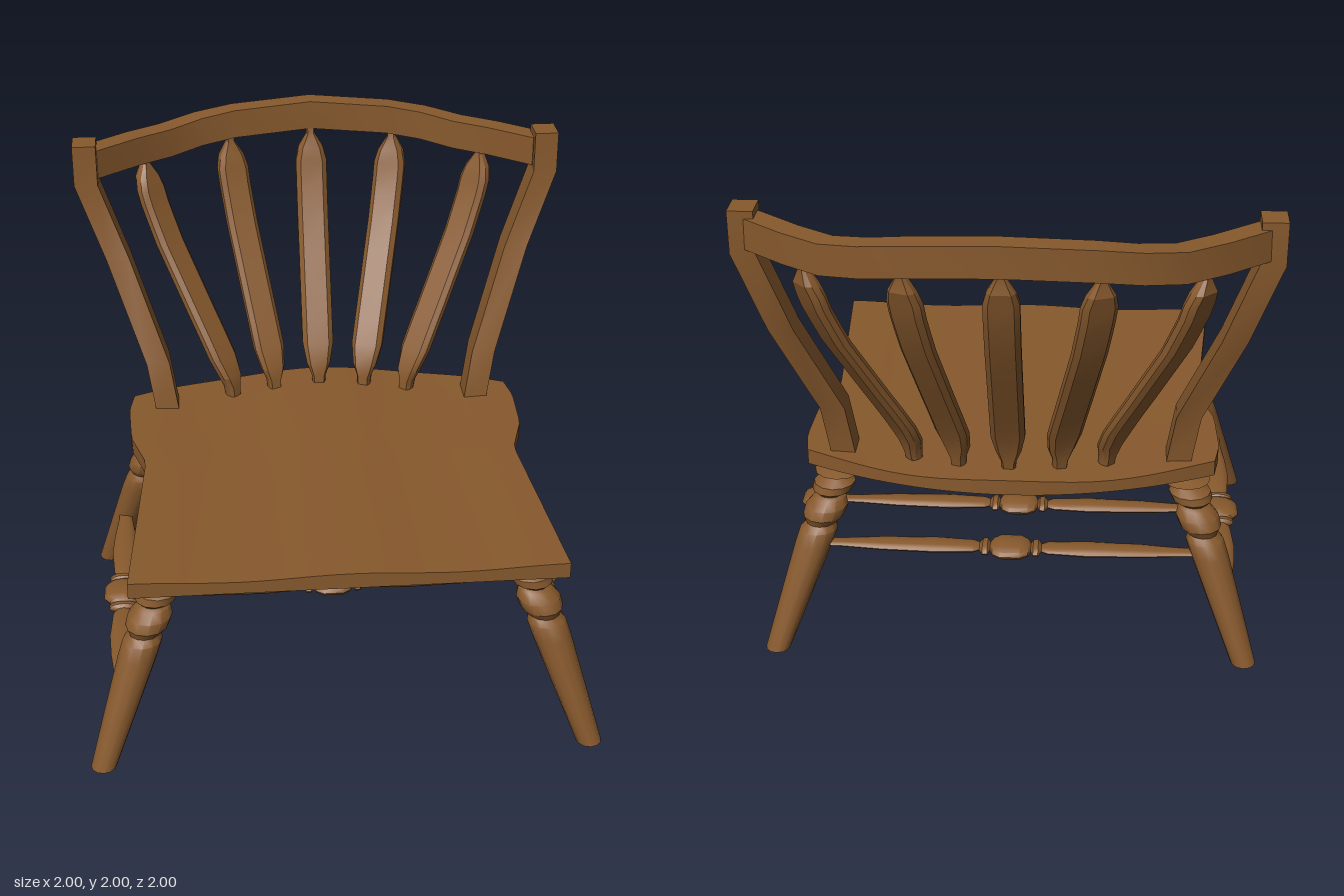
import * as THREE from 'three';
import { toCreasedNormals } from 'three/addons/utils/BufferGeometryUtils.js';

const wood = new THREE.MeshStandardMaterial({ color: 0x87592d });
wood.name = 'brown wood';
const UP = new THREE.Vector3(0, 1, 0);

// Piecewise-linear lookup in a list of [key, value], keys ascending
function lookup(table, k) {
  for (let i = 1; i < table.length; i++) {
    const [k0, v0] = table[i - 1], [k1, v1] = table[i];
    if (k <= k1) return v0 + (v1 - v0) * Math.max(0, (k - k0) / (k1 - k0));
  }
  return table[table.length - 1][1];
}

// Cross-section: outline points [a, b] scaled to half sizes, facing along dir
function section(center, dir, u, halfU, halfV, outline) {
  const v = dir.clone().cross(u);
  return outline.map(([a, b]) =>
    center.clone().addScaledVector(u, a * halfU).addScaledVector(v, b * halfV));
}

// Closed solid through a list of cross-sections
function loft(rings) {
  const pos = [], n = rings[0].length;
  const tri = (...p) => p.forEach(q => pos.push(q.x, q.y, q.z));
  for (let r = 0; r < rings.length - 1; r++) {
    const a = rings[r], b = rings[r + 1];
    for (let i = 0; i < n; i++) {
      const j = (i + 1) % n;
      tri(a[i], a[j], b[j]);
      tri(a[i], b[j], b[i]);
    }
  }
  const first = rings[0], last = rings[rings.length - 1];
  for (let i = 1; i < n - 1; i++) {
    tri(first[0], first[i + 1], first[i]);
    tri(last[0], last[i], last[i + 1]);
  }
  const g = new THREE.BufferGeometry();
  g.setAttribute('position', new THREE.Float32BufferAttribute(pos, 3));
  return g;
}

const SQUARE = [[1, -1], [1, 1], [-1, 1], [-1, -1]];
const SLAT = [[1, -0.4], [1, 0.4], [0.7, 1], [-0.7, 1], [-1, 0.4], [-1, -0.4], [-0.7, -1], [0.7, -1]];

// Waisted seat board with a bowed back edge and two shallow hollows
function seatGeometry() {
  const g = new THREE.BoxGeometry(2, 1, 1, 24, 1, 24);
  const halfWidth = [[-0.42, 0.80], [-0.3, 0.82], [-0.06, 0.81], [0.14, 0.75], [1, 0.815]];
  const p = g.attributes.position;
  for (let i = 0; i < p.count; i++) {
    const u = p.getX(i), v = 0.5 - p.getZ(i);
    const z = 1 - v * (1.62 - 0.2 * u * u * v);
    const edgeZ = 1 - v * (1.62 - 0.2 * v);
    const dip = 0.014 * Math.sin(Math.PI * Math.abs(u)) ** 2;
    p.setXYZ(i, u * lookup(halfWidth, edgeZ), p.getY(i) > 0 ? 0.873 - dip : 0.81, z);
  }
  return g;
}

// Turned leg, leaning outwards from the seat to the floor
function legGeometry(footX, footZ, leanX, leanZ) {
  const profile = [[0, 0], [0.05, 0], [0.062, 0.2], [0.076, 0.44], [0.076, 0.5], [0.06, 0.525],
    [0.083, 0.555], [0.086, 0.595], [0.066, 0.63], [0.052, 0.64], [0.08, 0.66], [0.084, 0.69],
    [0.05, 0.715], [0.05, 0.725], [0.096, 0.737], [0.05, 0.752], [0.05, 0.765], [0.078, 0.777],
    [0.045, 0.792], [0.04, 0.83], [0, 0.83]];
  const g = new THREE.LatheGeometry(profile.map(([r, y]) => new THREE.Vector2(r, y)), 12);
  const p = g.attributes.position;
  for (let i = 0; i < p.count; i++) {
    const y = p.getY(i);
    p.setX(i, p.getX(i) + footX - leanX * y);
    p.setZ(i, p.getZ(i) + footZ - leanZ * y);
  }
  return g;
}

// Flattened turned stretcher with a centre bulb and two rings
function stretcherGeometry(length) {
  const h = length / 2;
  const half = [[0.08, 0.04], [0.058, 0.072], [0.03, 0.082], [0.058, 0.092], [0.058, 0.112],
    [0.028, 0.125], [0.042, 0.15], [0.052, 0.3], [0.045, h * 0.65], [0.03, h * 0.85], [0.028, h], [0, h]];
  const pts = [...half.map(([r, y]) => [r, -y]).reverse(), ...half];
  return new THREE.LatheGeometry(pts.map(([r, y]) => new THREE.Vector2(r, y)), 12);
}

// Square back post, bending outwards and backwards
function postGeometry(side) {
  const path = [[0.655, 0.84, -0.36], [0.69, 1.07, -0.385], [0.838, 1.48, -0.553],
    [0.952, 1.8, -0.59], [0.952, 1.967, -0.593]];
  const right = new THREE.Vector3(1, 0, 0);
  return loft(path.map(([x, y, z]) =>
    section(new THREE.Vector3(side * x, y, z), UP, right, 0.048, 0.058, SQUARE)));
}

// Bowed top rail, higher in the middle
function railGeometry() {
  const half = [[0.33, 1.92, -0.922], [0.48, 1.9, -0.89], [0.62, 1.878, -0.825],
    [0.76, 1.878, -0.735], [0.93, 1.878, -0.6]];
  const path = [...half.map(([x, y, z]) => [-x, y, z]).reverse(), [0, 1.94, -0.953], ...half]
    .map(a => new THREE.Vector3(...a));
  return loft(path.map((c, i) => {
    const d = path[Math.min(i + 1, path.length - 1)].clone().sub(path[Math.max(i - 1, 0)]);
    d.y = 0;
    return section(c, d.normalize(), UP, 0.06, 0.046, SQUARE);
  }));
}

// S-curved back slat, narrow at both ends
function slatGeometry(bottom, top) {
  const sway = [[0, 0], [0.09, 0.03], [0.2, 0.15], [0.35, 0.35], [0.65, 0.74], [0.8, 0.89], [0.91, 0.97], [1, 1]];
  const width = [[0, 0.026], [0.05, 0.03], [0.1, 0.05], [0.18, 0.066], [0.86, 0.066], [0.91, 0.052], [0.965, 0.018], [1, 0.018]];
  const travel = top.clone().sub(bottom);
  const right = new THREE.Vector3(-travel.z, 0, travel.x).normalize();
  const steps = [0, 0.05, 0.1, 0.18, 0.27, 0.36, 0.5, 0.64, 0.73, 0.8, 0.86, 0.91, 0.965, 1];
  return loft(steps.map(t => {
    const s = lookup(sway, t), w = lookup(width, t);
    const c = new THREE.Vector3(bottom.x + travel.x * s, bottom.y + travel.y * t, bottom.z + travel.z * s);
    return section(c, UP, right, w, Math.min(w, 0.034), SLAT);
  }));
}

export function createModel() {
  const model = new THREE.Group();
  model.name = 'chair';
  const add = (name, geometry, crease = 0.6) => {
    const mesh = new THREE.Mesh(toCreasedNormals(geometry, crease), wood);
    mesh.name = name;
    model.add(mesh);
  };

  add('seat', seatGeometry());
  add('topRail', railGeometry(), 0.3);

  for (const side of [1, -1]) {
    const label = side > 0 ? 'left' : 'right';
    add(label + 'FrontLeg', legGeometry(side * 0.95, 0.95, side * 0.345, 0.265));
    add(label + 'BackLeg', legGeometry(side * 0.95, -0.52, side * 0.345, -0.27));
    add(label + 'BackPost', postGeometry(side), 0.3);
    add(label + 'Stretcher', stretcherGeometry(1.32)
      .rotateX(Math.PI / 2).scale(1, 0.38, 1).translate(side * 0.868, 0.285, 0.2));
  }

  // Cross stretchers
  add('middleStretcher', stretcherGeometry(1.64)
    .rotateZ(Math.PI / 2).scale(1, 0.38, 1).translate(0, 0.285, 0.2));
  add('backStretcher', stretcherGeometry(1.6)
    .rotateZ(Math.PI / 2).scale(1, 0.38, 1).translate(0, 0.44, -0.405));

  // Fanned slats between seat and rail: bottom x, z and top x, y, z
  const slats = [[0, -0.5, 0, 1.89, -0.93], [0.195, -0.475, 0.35, 1.875, -0.905], [0.375, -0.43, 0.715, 1.835, -0.77]];
  slats.forEach(([bx, bz, tx, ty, tz], i) => {
    for (const side of i ? [1, -1] : [1]) {
      add('backSlat', slatGeometry(new THREE.Vector3(side * bx, 0.85, bz), new THREE.Vector3(side * tx, ty, tz)), 0.35);
    }
  });
  return model;
}
